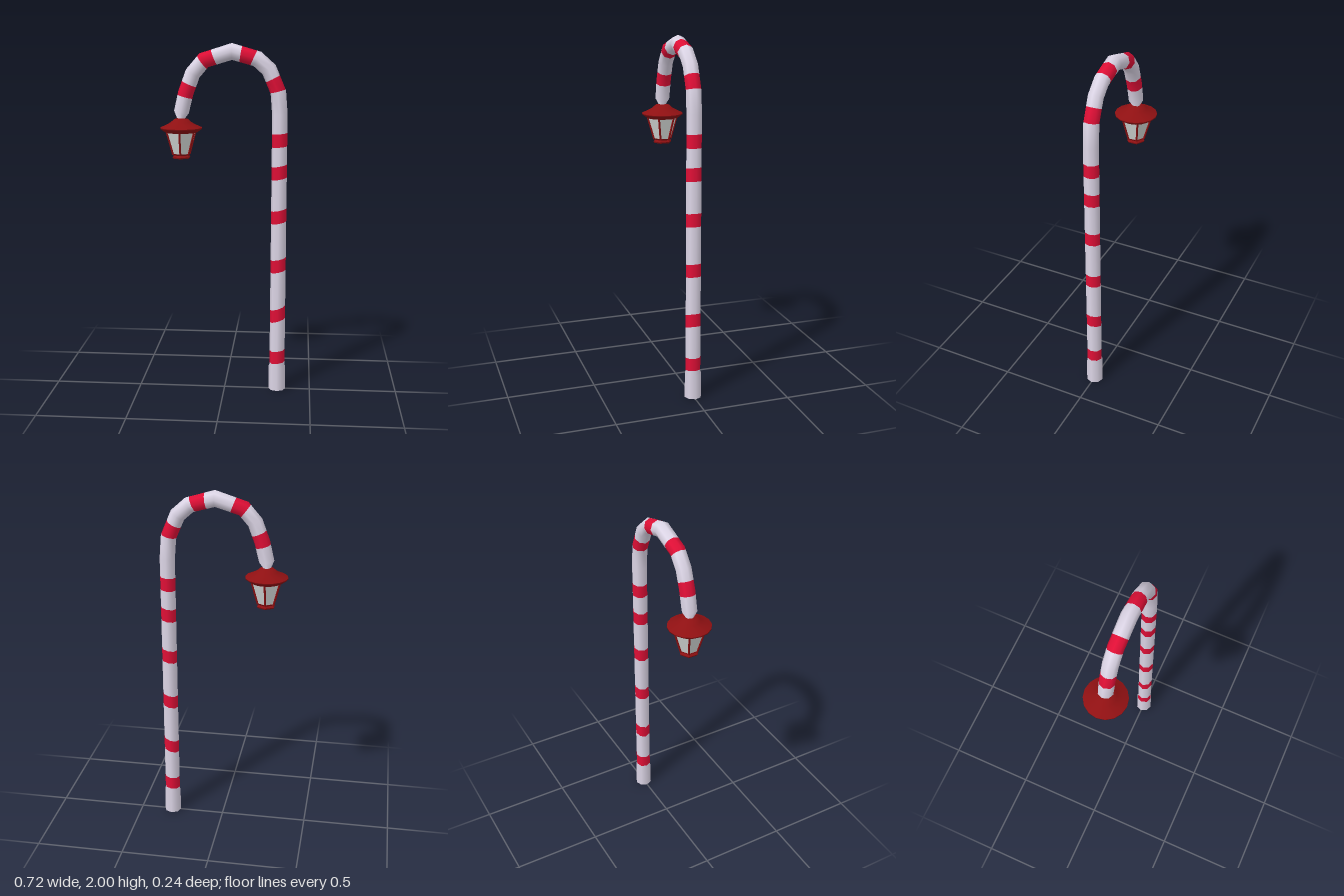
import * as THREE from 'three';

const mat = (name, color) => Object.assign(new THREE.MeshStandardMaterial({ color }), { name });

// Centre line of the pole and crook: x, y, radius
const PATH = [
  [0.309, 0, 0.049], [0.308, 0.14, 0.048], [0.308, 0.15, 0.044], [0.307, 1.61, 0.043],
  [0.297, 1.733, 0.043], [0.245, 1.855, 0.043], [0.18, 1.913, 0.043], [0.04, 1.953, 0.044],
  [-0.115, 1.905, 0.043], [-0.177, 1.833, 0.043], [-0.217, 1.725, 0.043],
  [-0.242, 1.62, 0.042], [-0.246, 1.585, 0.022],
];

// Stripes: distance along the centre line, slant
const STRIPES = [
  [0.202, 0.12], [0.458, 0.32], [0.75, 0.2], [1.035, 0.18], [1.286, 0.15], [1.467, 0.06],
  [1.775, 0], [2.01, 0], [2.24, 0], [2.455, 0],
];
const HALF_STRIPE = 0.037;
const SIDES = 8;

// Mitred rings at the corners of the centre line, each with its running distance
function pathRings() {
  let s = 0;
  const points = PATH.map(([x, y]) => new THREE.Vector2(x, y));
  const dir = (i) => points[i + 1].clone().sub(points[i]).normalize();
  return PATH.map(([, , r], i) => {
    if (i > 0) s += points[i].distanceTo(points[i - 1]);
    const before = dir(Math.max(i - 1, 0));
    const after = dir(Math.min(i, PATH.length - 2));
    const t = before.clone().add(after).normalize();
    const u = new THREE.Vector2(t.y, -t.x).multiplyScalar(r / t.dot(after));
    return { s, p: points[i], u, r };
  });
}

// Ring at any distance, optionally slanted along the pole
function ringAt(rings, s, slant = 0) {
  let i = 0;
  while (i < rings.length - 2 && rings[i + 1].s < s) i++;
  const a = rings[i], b = rings[i + 1];
  const k = (s - a.s) / (b.s - a.s);
  const u = a.u.clone().lerp(b.u, k);
  u.add(new THREE.Vector2(-u.y, u.x).multiplyScalar(slant));
  return { s, p: a.p.clone().lerp(b.p, k), u, r: a.r + (b.r - a.r) * k, slant };
}

// Joins pairs of rings into one tube geometry
function tubeGeometry(bands) {
  const pos = [], nor = [], index = [];
  for (const band of bands) {
    const base = pos.length / 3;
    for (const { p, u, r, slant = 0 } of band) {
      const n = u.clone().sub(new THREE.Vector2(-u.y, u.x).multiplyScalar(slant)).normalize();
      for (let i = 0; i <= SIDES; i++) {
        const c = Math.cos((i / SIDES) * Math.PI * 2), d = Math.sin((i / SIDES) * Math.PI * 2);
        pos.push(p.x + u.x * c, p.y + u.y * c, r * d);
        nor.push(n.x * c, n.y * c, d);
      }
    }
    for (let i = 0; i < SIDES; i++) {
      const a = base + i, c = a + SIDES + 1;
      index.push(a, c, c + 1, a, c + 1, a + 1);
    }
  }
  const g = new THREE.BufferGeometry();
  g.setAttribute('position', new THREE.Float32BufferAttribute(pos, 3));
  g.setAttribute('normal', new THREE.Float32BufferAttribute(nor, 3));
  g.setIndex(index);
  return g;
}

function flat(geometry) {
  const g = geometry.toNonIndexed();
  g.computeVertexNormals();
  return g;
}

const lathe = (profile, sides) =>
  new THREE.LatheGeometry(profile.map(([r, y]) => new THREE.Vector2(r, y)), sides);

export function createModel() {
  const model = new THREE.Group();
  model.name = 'candyStripedLamp';
  const white = mat('paleLilac', 0xdcd5e6);
  const red = mat('stripeRed', 0xe00f36);
  const darkRed = mat('lanternRed', 0x8f1012);
  const glass = mat('paleGlass', 0xd4d8d6);
  const add = (parent, name, geometry, material) => {
    const mesh = new THREE.Mesh(geometry, material);
    mesh.name = name;
    parent.add(mesh);
    return mesh;
  };

  // Pole and crook, cut at every stripe edge
  const rings = pathRings();
  const stations = [...rings];
  for (const [s, slant] of STRIPES) {
    for (const side of [-1, 1]) stations.push(ringAt(rings, s + side * HALF_STRIPE, slant));
  }
  stations.sort((a, b) => a.s - b.s);
  const plainBands = [], stripeBands = [];
  for (let i = 0; i < stations.length - 1; i++) {
    const middle = (stations[i].s + stations[i + 1].s) / 2;
    const striped = STRIPES.some(([s]) => Math.abs(s - middle) < HALF_STRIPE);
    (striped ? stripeBands : plainBands).push([stations[i], stations[i + 1]]);
  }
  add(model, 'pole', tubeGeometry(plainBands), white);
  add(model, 'stripes', tubeGeometry(stripeBands), red);

  // Lantern hanging from the crook
  const lantern = new THREE.Group();
  lantern.name = 'lantern';
  lantern.position.x = -0.244;
  model.add(lantern);

  add(lantern, 'roof', lathe([[0.118, 1.533], [0.085, 1.548], [0.058, 1.563], [0.04, 1.58], [0, 1.59]], 16), darkRed);
  add(lantern, 'roofRim', lathe([[0.09, 1.507], [0.118, 1.527], [0.118, 1.533]], 16), darkRed);
  add(lantern, 'roofUnderside', lathe([[0, 1.507], [0.09, 1.507]], 16), darkRed);

  // Six tapering panes with a post on each corner
  add(lantern, 'panes', flat(new THREE.CylinderGeometry(0.088, 0.05, 0.125, 6, 1, true).translate(0, 1.4475, 0)), glass);
  const up = new THREE.Vector3(0, 1, 0);
  for (let i = 0; i < 6; i++) {
    const a = (i * Math.PI) / 3;
    const low = new THREE.Vector3(0.05 * Math.sin(a), 1.382, 0.05 * Math.cos(a));
    const high = new THREE.Vector3(0.088 * Math.sin(a), 1.512, 0.088 * Math.cos(a));
    const axis = high.clone().sub(low);
    const post = add(lantern, 'post', flat(new THREE.CylinderGeometry(0.006, 0.006, axis.length(), 6)), darkRed);
    post.position.copy(low).add(high).multiplyScalar(0.5);
    post.quaternion.setFromUnitVectors(up, axis.normalize());
  }

  // Foot of the lantern
  const foot = [[0, 1.36], [0.05, 1.36], [0.054, 1.368], [0.046, 1.378], [0.055, 1.387], [0, 1.387]];
  add(lantern, 'foot', flat(lathe(foot, 6)), darkRed);
  return model;
}
